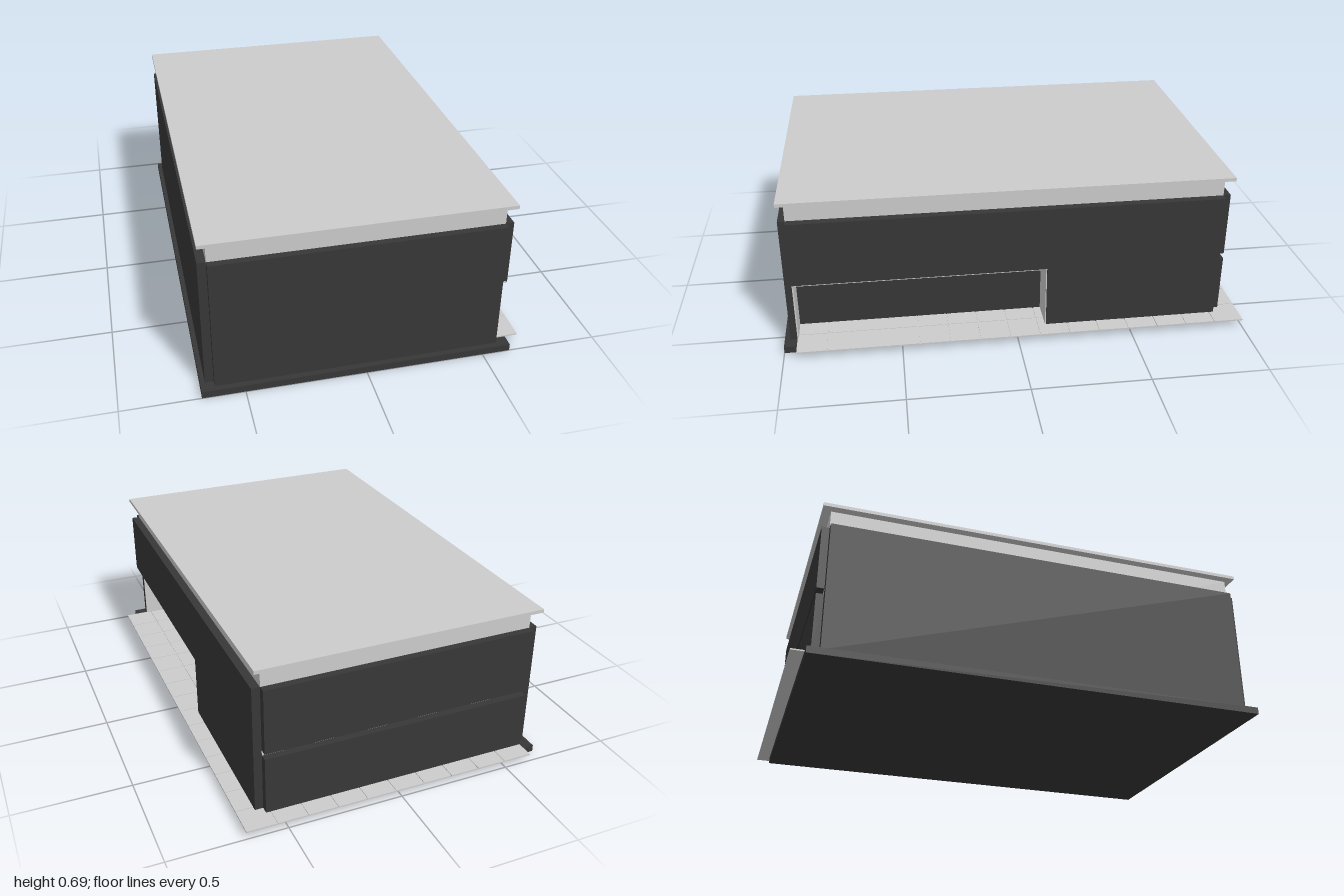
import * as THREE from 'three';

const light = new THREE.MeshStandardMaterial({ color: 0xcccccc });
light.name = 'lightConcrete';
const dark = new THREE.MeshStandardMaterial({ color: 0x373737 });
dark.name = 'darkCladding';

// Box given by its extents on each axis
function block(parent, name, material, [x0, x1], [y0, y1], [z0, z1]) {
  const mesh = new THREE.Mesh(new THREE.BoxGeometry(x1 - x0, y1 - y0, z1 - z0), material);
  mesh.position.set((x0 + x1) / 2, (y0 + y1) / 2, (z0 + z1) / 2);
  mesh.name = name;
  parent.add(mesh);
  return mesh;
}

function group(parent, name) {
  const g = new THREE.Group();
  g.name = name;
  parent.add(g);
  return g;
}

export function createModel() {
  const model = new THREE.Group();
  model.name = 'building';

  // Foundation and the offset paving on top of it
  block(model, 'foundation', dark, [-0.675, 0.62], [0, 0.03], [-0.945, 1]);
  const paving = group(model, 'paving');
  block(paving, 'pavingBed', light, [-0.62, 0.675], [0.03, 0.033], [-1, 0.945]);
  const tx = 1.295 / 10, tz = 1.945 / 15, gap = 0.0015;
  for (let i = 0; i < 10; i++) {
    for (let j = 0; j < 15; j++) {
      const x = -0.62 + i * tx, z = -1 + j * tz;
      block(paving, 'pavingTile', light,
        [x + (i ? gap : 0), x + tx - (i < 9 ? gap : 0)], [0.033, 0.036],
        [z + (j ? gap : 0), z + tz - (j < 14 ? gap : 0)]);
    }
  }

  // Light inner walls, rising above the cladding as a pale band
  const walls = group(model, 'innerWalls');
  const joints = [-0.59, -0.285, -0.22, 0.19, 0.535];
  for (let i = 0; i < joints.length - 1; i++) {
    const span = [joints[i], joints[i + 1]];
    block(walls, 'backWall', light, span, [0.036, 0.68], [-0.89, -0.86]);
    block(walls, 'frontWall', light, span, [0.315, 0.68], [0.915, 0.945]);
  }
  block(walls, 'rightWall', light, [-0.62, -0.59], [0.036, 0.68], [-0.89, 0.945]);
  block(walls, 'leftWallUpper', light, [0.535, 0.565], [0.315, 0.68], [-0.89, 0.945]);
  block(walls, 'leftWallLower', light, [0.535, 0.565], [0.036, 0.315], [-0.89, -0.14]);

  // Recessed porch: dark back wall with a light ceiling and end walls
  const porch = group(model, 'porch');
  block(porch, 'porchBackWall', dark, [0.43, 0.46], [0.03, 0.315], [-0.14, 0.945]);
  block(porch, 'porchCeiling', light, [0.43, 0.597], [0.31, 0.32], [-0.13, 0.945]);
  block(porch, 'porchFrontEnd', light, [0.46, 0.568], [0.036, 0.31], [0.94, 0.946]);
  for (const [y0, y1] of [[0.036, 0.125], [0.125, 0.22], [0.22, 0.31]]) {
    block(porch, 'porchBackEnd', light, [0.46, 0.597], [y0, y1], [-0.14, -0.126]);
  }

  // Dark cladding panels, leaving notched corners
  const cladding = group(model, 'cladding');
  block(cladding, 'frontPanel', dark, [-0.62, 0.568], [0.03, 0.6], [0.945, 0.975]);
  block(cladding, 'rightPanel', dark, [-0.655, -0.62], [0.03, 0.6], [-0.89, 0.945]);
  block(cladding, 'backPanelLower', dark, [-0.62, 0.565], [0.03, 0.29], [-0.922, -0.89]);
  block(cladding, 'backPanelUpper', dark, [-0.62, 0.565], [0.315, 0.6], [-0.922, -0.89]);

  // Left panel cut away over the porch
  const outline = new THREE.Shape([
    [-0.89, 0.03], [-0.13, 0.03], [-0.13, 0.315], [0.945, 0.315], [0.945, 0.6], [-0.89, 0.6],
  ].map(([z, y]) => new THREE.Vector2(z, y)));
  const panel = new THREE.ExtrudeGeometry(outline, { depth: 0.035, bevelEnabled: false });
  panel.rotateY(-Math.PI / 2);
  const leftPanel = new THREE.Mesh(panel, dark);
  leftPanel.position.x = 0.6;
  leftPanel.name = 'leftPanel';
  cladding.add(leftPanel);

  // Flat roof slab with a small overhang
  block(model, 'roof', light, [-0.655, 0.6], [0.68, 0.695], [-0.925, 0.975]);

  return model;
}
